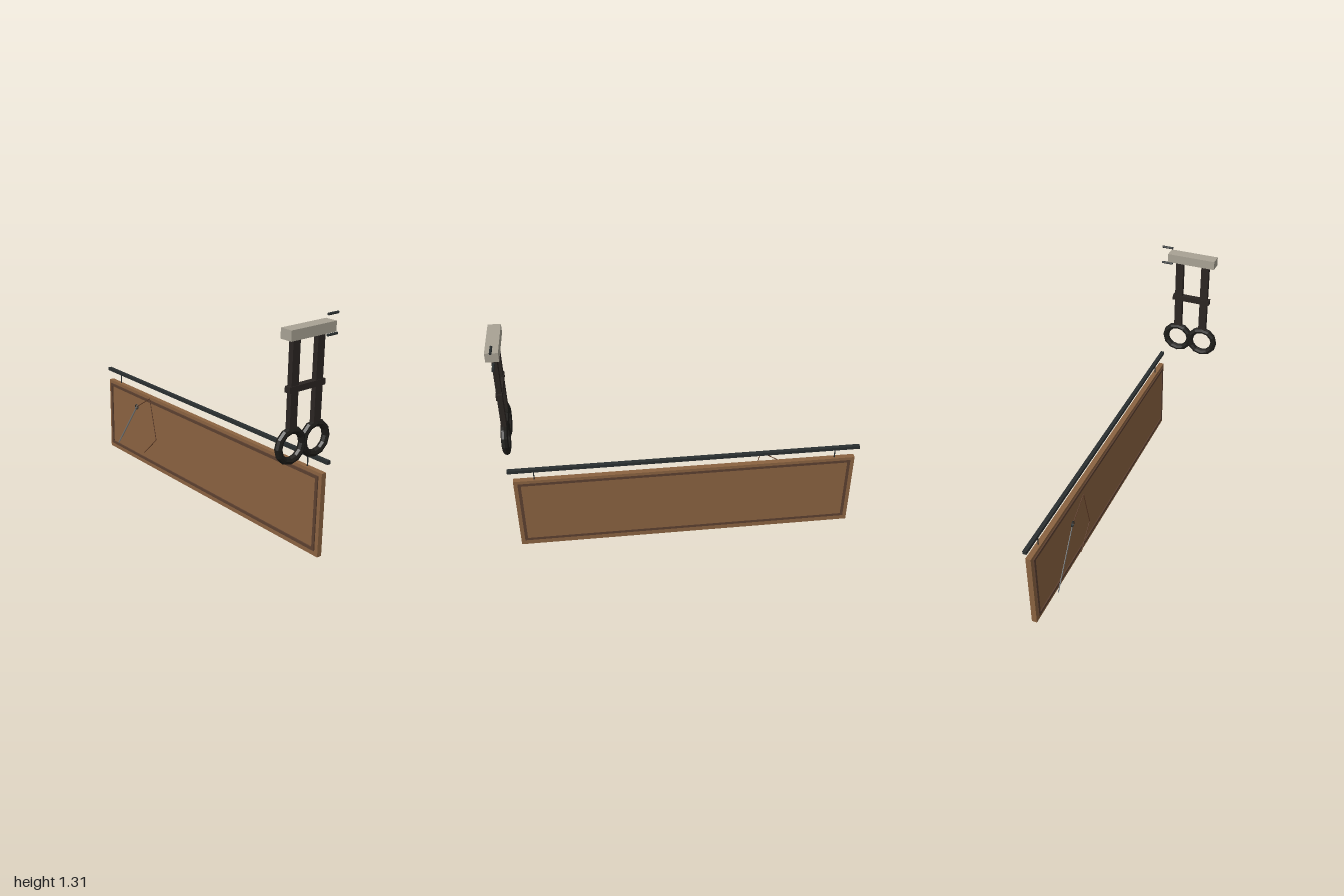
import * as THREE from 'three';

const mat = (color) => new THREE.MeshStandardMaterial({ color, flatShading: true });
const wood = mat(0x8a6240), darkWood = mat(0x5c4030), iron = mat(0x2a2f30);
const leather = mat(0x2b2522), ringBlack = mat(0x1e1d1a), stone = mat(0xa8a294);
const steel = mat(0x70777a), cordBrown = mat(0x5a3824);

function add(parent, name, geometry, material, x = 0, y = 0, z = 0) {
  const mesh = new THREE.Mesh(geometry, material);
  mesh.name = name;
  mesh.position.set(x, y, z);
  parent.add(mesh);
  return mesh;
}

const box = (w, h, d) => new THREE.BoxGeometry(w, h, d);

// Round rod between two points
function rod(parent, name, a, b, radius, material, sides = 6) {
  const from = new THREE.Vector3(...a), to = new THREE.Vector3(...b);
  const dir = to.clone().sub(from);
  const mesh = add(parent, name, new THREE.CylinderGeometry(radius, radius, dir.length(), sides), material);
  mesh.position.copy(from).add(to).multiplyScalar(0.5);
  mesh.quaternion.setFromUnitVectors(new THREE.Vector3(0, 1, 0), dir.normalize());
  return mesh;
}

// Hanging board with a framed border
function createBoard() {
  const g = new THREE.Group();
  g.name = 'hangingBoard';
  const cx = -0.015, cy = 0.236, cz = -0.1725;
  add(g, 'board', box(1.924, 0.472, 0.03), wood, cx, cy, cz);
  const w = 1.88, h = 0.424, t = 0.017, depth = 0.037, z = -0.1695;
  for (const s of [-1, 1]) {
    add(g, 'borderRail', box(w, t, depth), darkWood, cx, cy + 0.005 + s * (h - t) / 2, z);
    add(g, 'borderStile', box(t, h - 2 * t, depth), darkWood, cx + s * (w - t) / 2, cy + 0.005, z);
  }
  // Bar above, with two hangers
  add(g, 'hangingBar', box(1.973, 0.019, 0.022), iron, -0.0135, 0.538, -0.175);
  for (const x of [-0.862, 0.831]) {
    rod(g, 'hanger', [x, 0.465, -0.173], [x, 0.535, -0.173], 0.0035, iron);
  }
  return g;
}

// Pointer with an eye and a loose cord
function createPointer() {
  const g = new THREE.Group();
  g.name = 'pointer';
  const z = -0.107, top = [-0.595, 0.398, z];
  rod(g, 'pointerStick', [-0.81, 0.085, z], top, 0.005, steel).scale.z = 0.6;
  add(g, 'pointerEye', new THREE.TorusGeometry(0.014, 0.0035, 6, 12), iron, ...top);
  const cord = [top, [-0.451, 0.491, -0.105], [-0.388, 0.237, -0.105], [-0.515, 0.112, -0.105]];
  for (let i = 0; i < cord.length - 1; i++) {
    rod(g, 'cord', cord[i], cord[i + 1], 0.0025, cordBrown, 5);
  }
  return g;
}

// Pair of straps with rings below a wall block
function createStraps() {
  const g = new THREE.Group();
  g.name = 'ringStraps';
  const x = 0.963;
  add(g, 'block', box(0.069, 0.052, 0.292), stone, 0.9655, 1.248, 0.006);
  for (const z of [0.091, -0.07]) {
    add(g, 'strap', box(0.028, 0.432, 0.046), leather, x, 0.998, z);
    const ring = add(g, 'ring', new THREE.TorusGeometry(0.0785, 0.0195, 8, 12), ringBlack, x, 0.695, z);
    ring.rotation.y = Math.PI / 2;
  }
  add(g, 'crossStrap', box(0.034, 0.031, 0.234), leather, x, 0.98, 0.01);
  // Wall pins
  for (const y of [1.301, 1.199]) {
    rod(g, 'wallPin', [x, y, -0.121], [x, y, -0.187], 0.007, iron, 8);
  }
  return g;
}

export function createModel() {
  const model = new THREE.Group();
  model.name = 'boardAndStraps';
  model.add(createBoard(), createPointer(), createStraps());
  return model;
}
